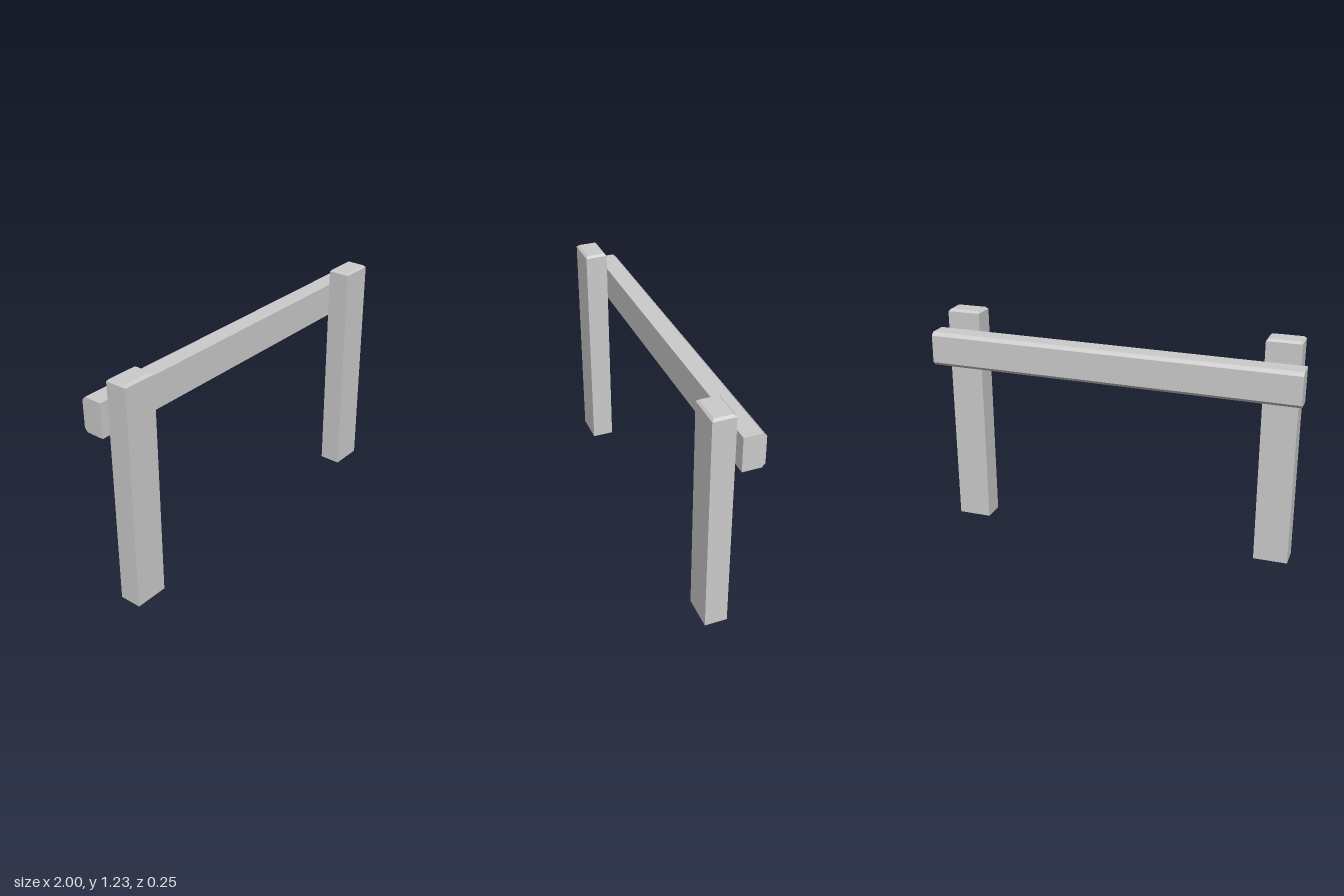
import * as THREE from 'three';

const material = new THREE.MeshStandardMaterial({ color: 0xcccccc, flatShading: true, side: THREE.DoubleSide });

// Upright post: bevelled top, open underneath
function createPost(name, x) {
  const width = 0.183, height = 1.225, depth = 0.119, bevel = 0.012;
  const geometry = new THREE.BoxGeometry(width, height, depth, 1, 2, 1);
  geometry.translate(0, height / 2, 0);

  // Raise the middle ring to the bevel line and pull in the top ring
  const p = geometry.attributes.position;
  for (let i = 0; i < p.count; i++) {
    const y = p.getY(i);
    if (y > height * 0.75) {
      p.setX(i, Math.sign(p.getX(i)) * (width / 2 - bevel));
      p.setZ(i, Math.sign(p.getZ(i)) * (depth / 2 - bevel));
    } else if (y > height * 0.25) {
      p.setY(i, height - bevel);
    }
  }

  // Drop the bottom face (fourth group of the box)
  const bottom = geometry.groups[3];
  geometry.setIndex([...geometry.index.array].filter((_, i) => i < bottom.start || i >= bottom.start + bottom.count));
  geometry.clearGroups();
  const flat = geometry.toNonIndexed();
  flat.computeVertexNormals();

  const post = new THREE.Mesh(flat, material);
  post.name = name;
  post.position.set(x, 0, 0.066);
  return post;
}

// Rail: rectangular section with both back edges chamfered, slightly tilted
function createRail() {
  const length = 1.998, h = 0.0925, front = 0.0575, back = -0.0575, c = 0.018;
  // Section drawn with shape x = -z, so the extrusion can be turned to run along x
  const section = new THREE.Shape([
    [-front, -h], [-back - c, -h], [-back, -h + c],
    [-back, h - c], [-back - c, h], [-front, h],
  ].map(([x, y]) => new THREE.Vector2(x, y)));
  const geometry = new THREE.ExtrudeGeometry(section, { depth: length, bevelEnabled: false });
  geometry.translate(0, 0, -length / 2);
  geometry.rotateY(Math.PI / 2);

  const rail = new THREE.Mesh(geometry, material);
  rail.name = 'rail';
  rail.position.set(0, 1.025, -0.0655);
  rail.rotation.z = 0.007;
  return rail;
}

export function createModel() {
  const model = new THREE.Group();
  model.name = 'fence';
  model.add(createPost('rightPost', -0.874), createPost('leftPost', 0.868), createRail());
  return model;
}
